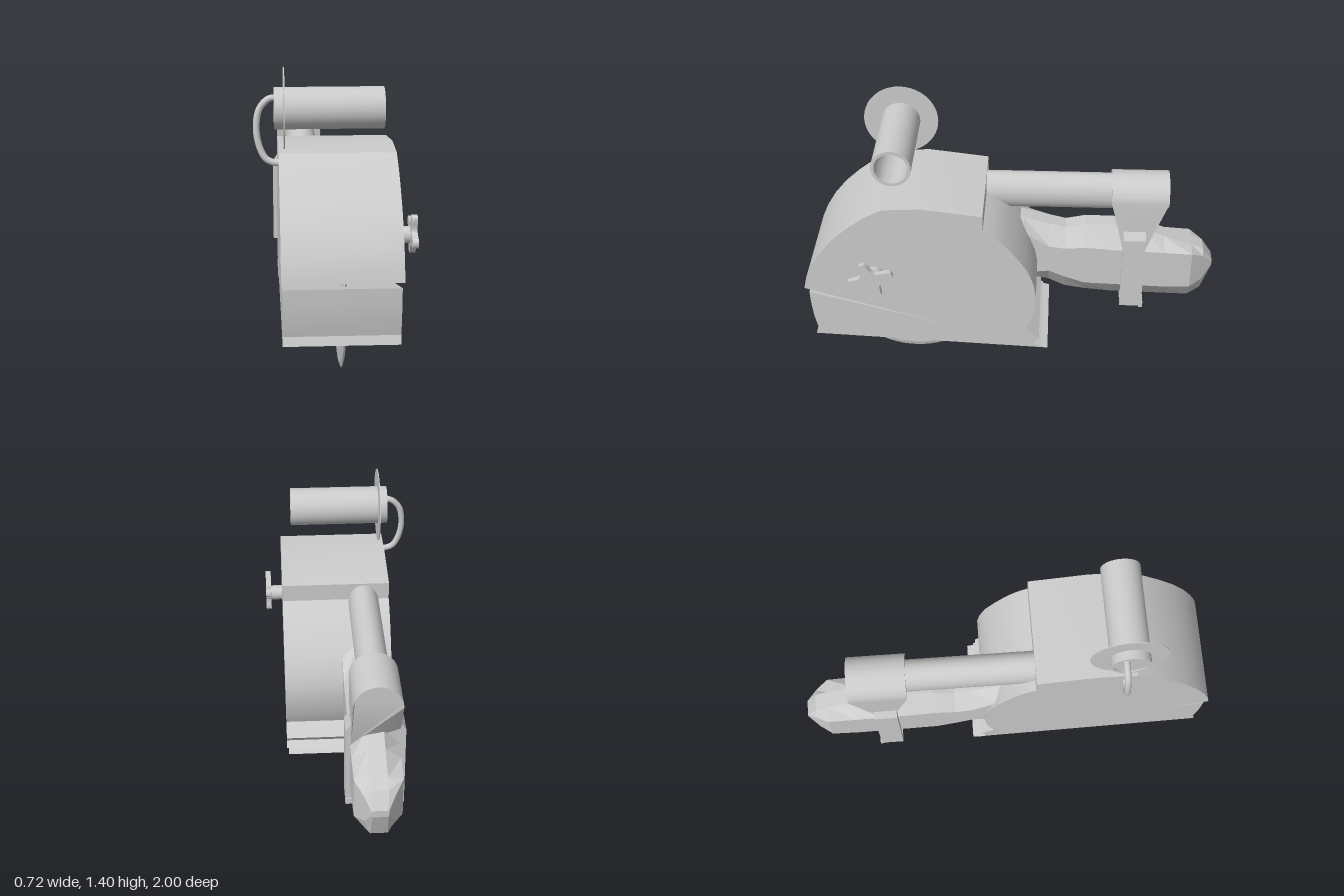
import * as THREE from 'three';
import { toCreasedNormals } from 'three/addons/utils/BufferGeometryUtils.js';

const mat = new THREE.MeshStandardMaterial({ color: 0xcccccc, side: THREE.DoubleSide });
const flat = new THREE.MeshStandardMaterial({ color: 0xcccccc, side: THREE.DoubleSide, flatShading: true });
const v2 = (pts) => pts.map(([a, b]) => new THREE.Vector2(a, b));

export function createModel() {
  const model = new THREE.Group();
  const add = (name, geo, m = mat) => {
    const mesh = new THREE.Mesh(geo, m);
    mesh.name = name;
    model.add(mesh);
    return mesh;
  };

  // Side profile given as (z, y), extruded across x from x0 to x1
  const sideExtrude = (shape, x0, x1) => {
    const g = new THREE.ExtrudeGeometry(shape, { depth: x1 - x0, bevelEnabled: false });
    g.rotateY(-Math.PI / 2).translate(x1, 0, 0);
    return toCreasedNormals(g, 0.4);
  };

  // Main housing with the stepped rear ledge
  add('upperHousing', sideExtrude(new THREE.Shape(v2([
    [1, 0.555], [0.985, 0.62], [0.955, 0.69], [0.91, 0.765], [0.85, 0.84], [0.775, 0.91],
    [0.69, 0.975], [0.6, 1.025], [0.42, 1.035], [0.13, 1], [0.13, 0.915], [0.08, 0.885],
    [0.03, 0.84], [-0.03, 0.765], [-0.08, 0.69], [-0.11, 0.61], [-0.122, 0.54], [-0.115, 0.46],
    [-0.1, 0.39], [-0.075, 0.33], [-0.14, 0.275], [-0.11, 0.24], [-0.15, 0.222], [-0.08, 0.234],
  ])), -0.25, 0.272));

  // Wedge-shaped lower guard
  add('lowerGuard', sideExtrude(new THREE.Shape(v2([
    [0.98, 0.525], [0.977, 0.45], [0.97, 0.38], [0.955, 0.305], [0.968, 0.265], [-0.183, 0.208],
  ])), -0.245, 0.264));

  // Cutting disc with a thinned rim
  const disc = new THREE.LatheGeometry(v2([
    [0, -0.009], [0.355, -0.009], [0.378, -0.002], [0.378, 0.002], [0.355, 0.009], [0, 0.009],
  ]), 64);
  disc.rotateZ(-Math.PI / 2).translate(0.026, 0.38, 0.5);
  add('cuttingDisc', toCreasedNormals(disc, 0.2));

  // Star knob on a short stem
  const stem = new THREE.CylinderGeometry(0.038, 0.038, 0.09, 24);
  stem.rotateZ(Math.PI / 2).translate(0.3, 0.66, 0.65);
  add('knobStem', stem);
  const starPts = [];
  const tips = [[0.702, 0.763], [0.555, 0.711], [0.625, 0.572], [0.773, 0.645]];
  const [cz, cy] = [0.664, 0.67];
  tips.forEach(([z, y], i) => {
    const [nz, ny] = tips[(i + 1) % 4];
    const dz = z - cz, dy = y - cy;
    for (const s of [1, -1]) starPts.push([z - dz * 0.05 + s * dy * 0.13, y - dy * 0.05 - s * dz * 0.13]);
    const mz = (z + nz) / 2 - cz, my = (y + ny) / 2 - cy;
    const k = 0.05 / Math.hypot(mz, my);
    starPts.push([cz + mz * k, cy + my * k]);
  });
  // keep the outline running one way round
  const outline = new THREE.CatmullRomCurve3(
    starPts.map(([z, y]) => new THREE.Vector3(z, y, 0)), true, 'centripetal');
  const star = new THREE.Shape(outline.getPoints(72).slice(0, -1).map((p) => new THREE.Vector2(p.x, p.y)));
  add('starKnob', sideExtrude(star, 0.33, 0.357));

  // Hollow cross handle, closed near its right end, with a round flange
  const tube = new THREE.LatheGeometry(v2([
    [0, -0.262], [0.08, -0.262], [0.08, -0.268], [0.093, -0.268], [0.093, 0.218],
    [0.078, 0.218], [0.078, -0.25], [0, -0.25],
  ]), 48);
  tube.rotateZ(-Math.PI / 2).translate(0, 1.218, 0.55);
  add('crossHandle', toCreasedNormals(tube, 0.5));
  const flange = new THREE.CylinderGeometry(0.18, 0.18, 0.004, 48);
  flange.rotateZ(Math.PI / 2).translate(-0.224, 1.218, 0.55);
  add('handleFlange', flange);

  // Bent rod joining the cross handle to the housing
  const rod = new THREE.CatmullRomCurve3([
    [-0.25, 1.262, 0.525], [-0.29, 1.256, 0.525], [-0.33, 1.215, 0.528], [-0.346, 1.14, 0.532],
    [-0.335, 1.05, 0.537], [-0.305, 0.99, 0.542], [-0.27, 0.973, 0.545], [-0.235, 0.973, 0.545],
  ].map((p) => new THREE.Vector3(...p)));
  add('handleRod', new THREE.TubeGeometry(rod, 40, 0.015, 12));

  // Oval rear arm
  const arm = new THREE.CylinderGeometry(1, 1, 0.75, 40);
  arm.rotateX(Math.PI / 2).scale(0.074, 0.093, 1).translate(-0.125, 0.898, -0.175);
  add('rearArm', arm);

  // Collar: arched block that narrows along z toward its neck
  const arch = new THREE.Shape();
  arch.moveTo(-0.24, 0.887);
  arch.lineTo(-0.24, 0.7);
  arch.lineTo(-0.24, 0.62);
  arch.lineTo(-0.015, 0.62);
  arch.lineTo(-0.015, 0.7);
  arch.lineTo(-0.015, 0.887);
  arch.absarc(-0.1275, 0.887, 0.1125, 0, Math.PI, false);
  const collar = new THREE.ExtrudeGeometry(arch, { depth: 1, bevelEnabled: false, curveSegments: 20 });
  const cp = collar.attributes.position;
  for (let i = 0; i < cp.count; i++) {
    const t = THREE.MathUtils.clamp((cp.getY(i) - 0.7) / 0.187, 0, 1);
    const half = THREE.MathUtils.lerp(0.055, 0.139, t);
    cp.setZ(i, -0.6 - 0.018 * t + (cp.getZ(i) * 2 - 1) * half);
  }
  add('collar', toCreasedNormals(collar, 0.4));

  // Strap around the grip
  const strapShape = new THREE.Shape(v2([
    [-0.265, 0.285], [0.01, 0.285], [0.01, 0.69], [-0.015, 0.73], [-0.24, 0.73], [-0.265, 0.69],
  ]));
  strapShape.holes.push(new THREE.Path(v2([
    [-0.235, 0.312], [-0.235, 0.7], [-0.018, 0.7], [-0.018, 0.312],
  ])));
  const strap = new THREE.ExtrudeGeometry(strapShape, { depth: 0.11, bevelEnabled: false });
  strap.translate(0, 0, -0.653);
  add('strap', strap, flat);
  const lip = new THREE.BoxGeometry(0.275, 0.03, 0.02);
  lip.translate(-0.1275, 0.29, -0.65);
  add('strapLip', lip, flat);

  // Faceted grip: eight-sided sections [z, top, upper edge, lower edge, bottom, half width]
  const sections = [
    [0.08, 0.78, 0.74, 0.45, 0.41, 0.112],
    [-0.05, 0.755, 0.715, 0.465, 0.4, 0.112],
    [-0.18, 0.72, 0.63, 0.48, 0.375, 0.112],
    [-0.26, 0.7, 0.62, 0.445, 0.335, 0.112],
    [-0.36, 0.722, 0.628, 0.41, 0.318, 0.112],
    [-0.5, 0.72, 0.618, 0.405, 0.305, 0.112],
    [-0.65, 0.7, 0.612, 0.4, 0.303, 0.112],
    [-0.75, 0.66, 0.608, 0.397, 0.3, 0.112],
    [-0.89, 0.613, 0.6, 0.4, 0.297, 0.11],
    [-0.95, 0.588, 0.565, 0.42, 0.345, 0.072],
    [-1, 0.515, 0.51, 0.49, 0.48, 0.038],
  ];
  const pos = [], idx = [];
  for (const [z, top, up, low, bot, w] of sections) {
    const n = Math.min(0.04, w * 0.9);
    for (const [x, y] of [[n, bot], [w, low], [w, up], [n, top], [-n, top], [-w, up], [-w, low], [-n, bot]])
      pos.push(x - 0.1225, y, z);
  }
  for (let s = 0; s < sections.length - 1; s++)
    for (let k = 0; k < 8; k++) {
      const a = s * 8 + k, b = s * 8 + (k + 1) % 8;
      idx.push(a, a + 8, b, b, a + 8, b + 8);
    }
  const last = (sections.length - 1) * 8;
  for (let k = 1; k < 7; k++) {
    idx.push(0, k, k + 1);
    idx.push(last, last + k + 1, last + k);
  }
  const grip = new THREE.BufferGeometry();
  grip.setAttribute('position', new THREE.Float32BufferAttribute(pos, 3));
  grip.setIndex(idx);
  grip.computeVertexNormals();
  add('rearGrip', grip, flat);

  return model;
}
